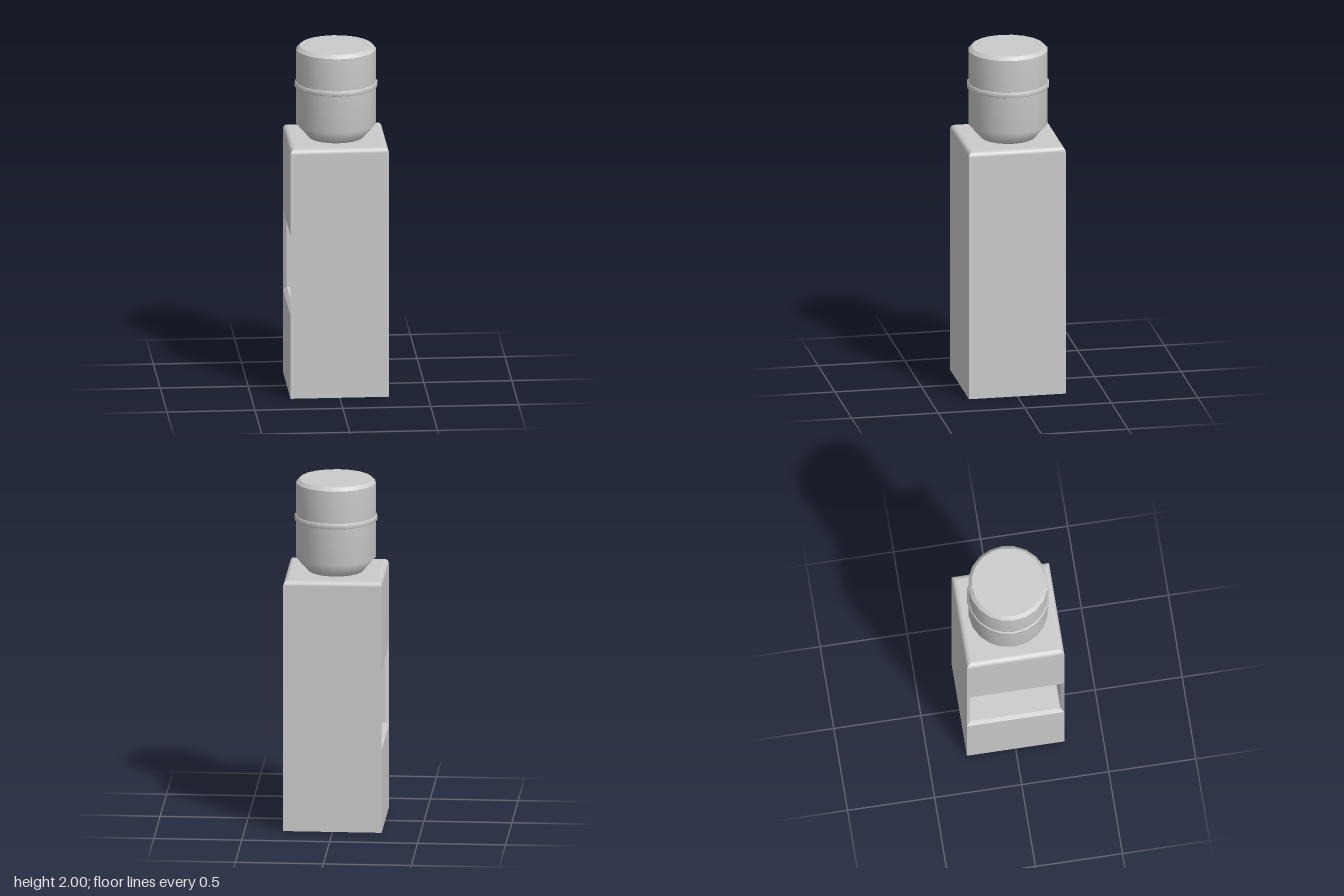
import * as THREE from 'three';

const HALF = 0.28;                 // half width of the square body
const TOP = 1.465;                 // height of the body
const WIN = [0.487, 0.96];         // lower and upper edge of the side opening
const SEGMENTS = 20;               // sides of the round cap

const material = new THREE.MeshStandardMaterial({ color: 0xcccccc });

function add(group, name, geometry) {
  const mesh = new THREE.Mesh(geometry, material);
  mesh.name = name;
  group.add(mesh);
  return mesh;
}

function fromArrays(positions, index) {
  const geometry = new THREE.BufferGeometry();
  geometry.setAttribute('position', new THREE.Float32BufferAttribute(positions, 3));
  geometry.setIndex(index);
  return geometry;
}

// One mitred wall facing +z, swept along a profile of [half width, height]
function wall(profile) {
  const positions = [], index = [];
  profile.forEach(([h, y], i) => {
    positions.push(-h, y, h, h, y, h);
    if (i) {
      const a = 2 * i - 2;
      index.push(a, a + 1, a + 3, a, a + 3, a + 2);
    }
  });
  const geometry = fromArrays(positions, index);
  geometry.computeVertexNormals();
  return geometry;
}

// Bevelled pocket facing +z, from rectangles [half width, low, high, z]
function pocket(rings) {
  const positions = [], index = [];
  rings.forEach(([w, lo, hi, z], r) => {
    positions.push(-w, lo, z, w, lo, z, w, hi, z, -w, hi, z);
    if (!r) return;
    for (let i = 0; i < 4; i++) {
      const a = 4 * (r - 1) + i, b = 4 * (r - 1) + (i + 1) % 4;
      index.push(a, b, b + 4, a, b + 4, a + 4);
    }
  });
  const n = 4 * (rings.length - 1);
  index.push(n, n + 1, n + 2, n, n + 2, n + 3);
  const geometry = fromArrays(positions, index).toNonIndexed();
  geometry.computeVertexNormals();
  return geometry;
}

function lathe(points) {
  return new THREE.LatheGeometry(points.map(([r, y]) => new THREE.Vector2(r, y)), SEGMENTS);
}

function createBody() {
  const body = new THREE.Group();
  body.name = 'body';

  // Rounded shoulder at the top of every wall
  const R = 0.028;
  const shoulder = [];
  for (let i = 0; i <= 5; i++) {
    const a = (i / 5) * Math.PI / 2;
    shoulder.push([HALF - R + R * Math.cos(a), TOP - R + R * Math.sin(a)]);
  }

  // Three plain walls; the -x wall is split around its opening
  ['frontWall', 'leftWall', 'backWall'].forEach((name, k) => {
    add(body, name, wall([[HALF, 0], ...shoulder])).rotation.y = k * Math.PI / 2;
  });
  const side = new THREE.Group();
  side.name = 'rightWall';
  side.rotation.y = -Math.PI / 2;
  add(side, 'lowerPanel', wall([[HALF, 0], [HALF, WIN[0]]]));
  add(side, 'upperPanel', wall([[HALF, WIN[1]], ...shoulder]));
  const B = 0.02;
  add(side, 'recess', pocket([
    [HALF, WIN[0], WIN[1], HALF],
    [HALF - B, WIN[0] + B, WIN[1] - B, HALF - B],
    [HALF - B, WIN[0] + B, WIN[1] - B, 0.115],
  ]));
  body.add(side);

  // Flat top and base
  const flat = HALF - R;
  const lid = add(body, 'bodyTop', new THREE.PlaneGeometry(2 * flat, 2 * flat));
  lid.rotation.x = -Math.PI / 2;
  lid.position.y = TOP;
  add(body, 'base', new THREE.PlaneGeometry(2 * HALF, 2 * HALF)).rotation.x = Math.PI / 2;
  return body;
}

function createCap() {
  const cap = new THREE.Group();
  cap.name = 'cap';
  add(cap, 'capShell', lathe([[0.157, TOP], [0.227, 1.545], [0.227, 1.98]]));
  add(cap, 'capRim', lathe([[0.227, 1.98], [0.207, 2]]));
  add(cap, 'capTop', lathe([[0.207, 2], [0, 2]]));
  // Thin raised band around the middle
  add(cap, 'capBand', lathe([[0.225, 1.758], [0.235, 1.762], [0.235, 1.788], [0.225, 1.792]]));
  return cap;
}

export function createModel() {
  const model = new THREE.Group();
  model.name = 'cappedContainer';
  model.add(createBody(), createCap());
  return model;
}
